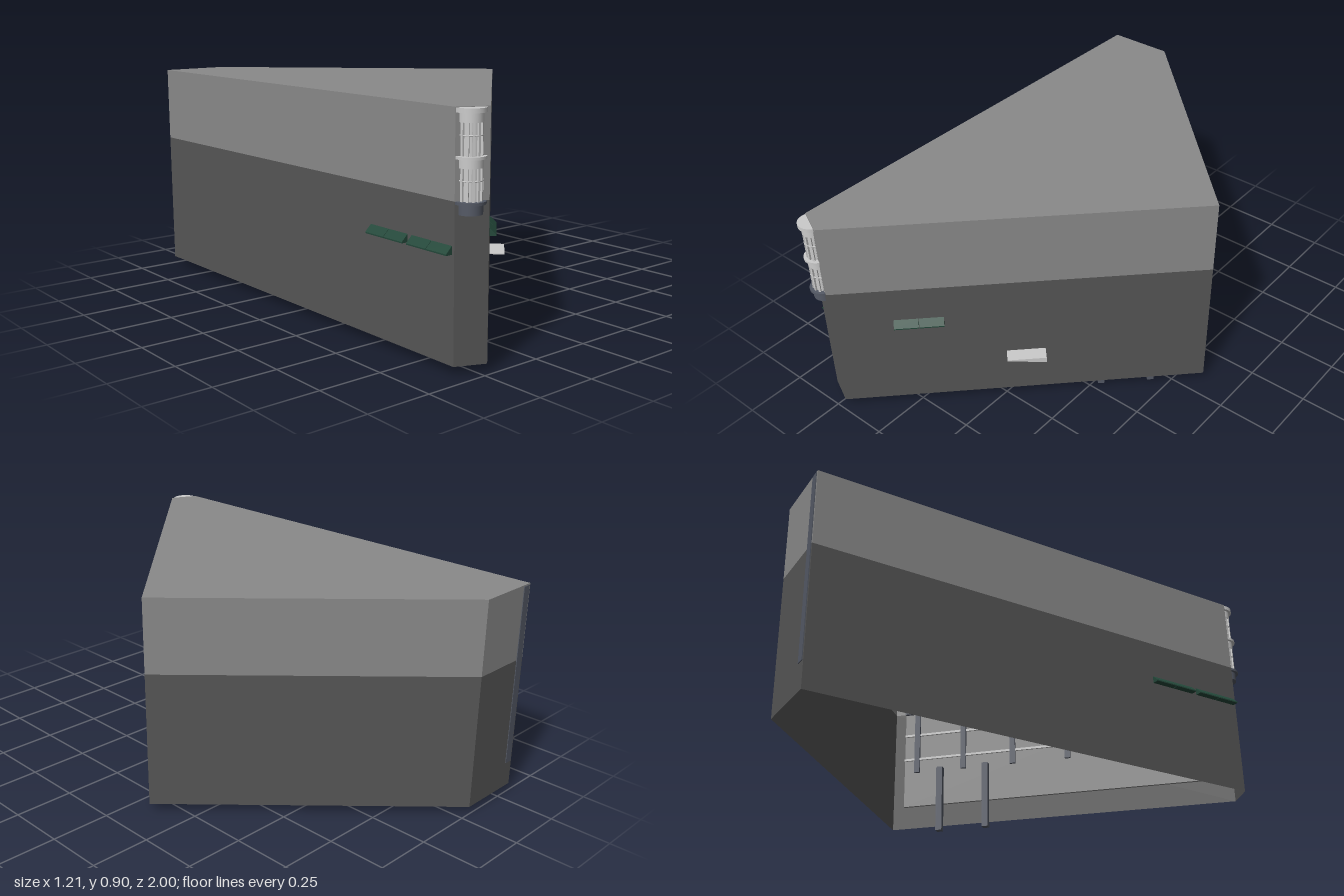
import * as THREE from 'three';

const mat = (color, side = THREE.FrontSide) => new THREE.MeshStandardMaterial({ color, side });
const upperMat = mat(0x8a8a8a, THREE.DoubleSide);
const lowerMat = mat(0x565656, THREE.DoubleSide);
const stone = mat(0xcccccc);
const paneling = mat(0x8c8c8c);
const slate = mat(0x555a66);
const green = mat(0x24483a);

const BASE = 0.03, SPLIT = 0.595, TOP = 0.905;
// Plan corners (x, z), anticlockwise seen from above
const E = [-0.58, 0.93], D = [-0.47, 0.98], C = [0.6, -0.09], B = [-0.3, -0.998], A = [-0.58, -0.998];
const walls = { corner: [E, D], street: [D, C], rear: [C, B], back: [B, A], side: [A, E] };

function add(parent, name, geometry, material, x = 0, y = 0, z = 0) {
  const mesh = new THREE.Mesh(geometry, material);
  mesh.name = name;
  mesh.position.set(x, y, z);
  parent.add(mesh);
  return mesh;
}

// Box given by its range in y, centred at u along the wall and w outward
const block = (g, name, m, u, y0, y1, w, width, depth) =>
  add(g, name, new THREE.BoxGeometry(width, y1 - y0, depth), m, u, (y0 + y1) / 2, w);

// Extrudes an (outward, y) section along a wall
function section(g, name, m, pts, u0, length) {
  const shape = new THREE.Shape(pts.map(p => new THREE.Vector2(...p)));
  const geo = new THREE.ExtrudeGeometry(shape, { depth: length, bevelEnabled: false });
  geo.rotateY(-Math.PI / 2);
  return add(g, name, geo, m, u0 + length);
}

// Wall frame: local x runs along the wall, local z points outward
function makeWall(name, [p, q]) {
  const g = new THREE.Group();
  const dx = q[0] - p[0], dz = q[1] - p[1], len = Math.hypot(dx, dz);
  g.name = name + 'Wall';
  g.position.set(p[0], 0, p[1]);
  g.rotation.y = Math.atan2(-dz, dx);
  g.userData.length = len;
  for (const [part, y0, y1, m] of [['lowerFacade', BASE, SPLIT, lowerMat], ['upperFacade', SPLIT, TOP, upperMat]])
    add(g, part, new THREE.PlaneGeometry(len, y1 - y0), m, len / 2, (y0 + y1) / 2, 0);
  return g;
}

// Panels, ledges and pilasters on the inner face of a wall
function lineWall(g, from, to, pilasters) {
  const mid = (from + to) / 2, len = to - from;
  block(g, 'lowerPanel', paneling, mid, 0.13, 0.59, -0.009, len, 0.012);
  block(g, 'upperPanel', stone, mid, 0.6, 0.89, -0.009, len, 0.012);
  for (const y of [0.355, 0.475, 0.74, 0.885])
    block(g, 'ledge', stone, mid, y - 0.005, y + 0.005, -0.012, len, 0.022);
  block(g, 'cornice', slate, mid, 0.583, 0.6, -0.015, len, 0.028);
  for (const u of pilasters)
    block(g, 'pilaster', slate, u, 0.29, 0.583, -0.018, 0.025, 0.016);
}

function awning(g, u, width) {
  const half = width / 2 - 0.001;
  for (const s of [-1, 0])
    section(g, 'awning', green, [[0, 0.415], [0.026, 0.415], [0.026, 0.42], [0, 0.445]],
      u + s * width / 2 + 0.001, half - 0.001);
}

// Round bay window tower on the cut corner
function makeTurret() {
  const g = new THREE.Group();
  g.name = 'cornerTurret';
  g.position.set(-0.525, 0, 0.944);
  const drum = (name, r, y0, y1, m) =>
    add(g, name, new THREE.CylinderGeometry(r, r, y1 - y0, 24), m, 0, (y0 + y1) / 2, 0);
  drum('turretBase', 0.044, 0.55, 0.585, slate);
  drum('turretFootRing', 0.055, 0.585, 0.595, slate);
  drum('turretMiddleRing', 0.055, 0.735, 0.745, stone);
  drum('turretCap', 0.055, 0.887, 0.903, stone);
  for (const [y0, y1] of [[0.595, 0.705], [0.745, 0.855]]) {
    drum('turretWindows', 0.036, y0, y1, stone);
    drum('turretFrieze', 0.044, y1, y1 + 0.031, stone);
    for (let i = -3; i <= 3; i++) {
      const a = i * 0.5;
      const m = add(g, 'turretMullion', new THREE.BoxGeometry(0.009, y1 - y0, 0.008), stone,
        Math.sin(a) * 0.039, (y0 + y1) / 2, Math.cos(a) * 0.039);
      m.rotation.y = a;
    }
    const rail = add(g, 'turretRail', new THREE.TorusGeometry(0.041, 0.003, 6, 24), stone, 0, y0 + 0.068, 0);
    rail.rotation.x = Math.PI / 2;
  }
  return g;
}

export function createModel() {
  const model = new THREE.Group();
  model.name = 'wedgeBuilding';

  const w = {};
  for (const [name, ends] of Object.entries(walls)) model.add(w[name] = makeWall(name, ends));

  // Roof
  const outline = new THREE.Shape([E, D, C, B, A].map(([x, z]) => new THREE.Vector2(x, -z)));
  const roof = add(model, 'roof', new THREE.ShapeGeometry(outline), upperMat, 0, TOP, 0);
  roof.rotation.x = -Math.PI / 2;

  // Long side wall
  lineWall(w.side, 0.04, 1.9, [0.33, 0.58, 0.95, 1.15, 1.35, 1.55, 1.75]);
  for (const u of [1.59, 1.815]) awning(w.side, u, 0.205);

  // Street wall with awning, canopy and two entrance posts
  lineWall(w.street, 0.04, 1.46, [0.2, 0.45, 0.7, 0.95, 1.18, 1.4]);
  awning(w.street, 0.34, 0.2);
  const canopy = new THREE.Shape([[0.68, 0.236], [0.84, 0.215], [0.84, 0.24], [0.68, 0.24]]
    .map(p => new THREE.Vector2(...p)));
  add(w.street, 'canopy', new THREE.ExtrudeGeometry(canopy, { depth: 0.065, bevelEnabled: false }),
    stone, 0, 0, -0.005);
  for (const u of [1.075, 1.287]) block(w.street, 'entrancePost', slate, u, 0, 0.3, -0.028, 0.028, 0.028);

  // Back wall with corner downpipe
  const end = w.back.userData.length;
  lineWall(w.back, 0.03, end - 0.03, []);
  block(w.back, 'cornerPost', slate, end - 0.025, 0.14, 0.9, 0, 0.035, 0.006);

  model.add(makeTurret());
  return model;
}
